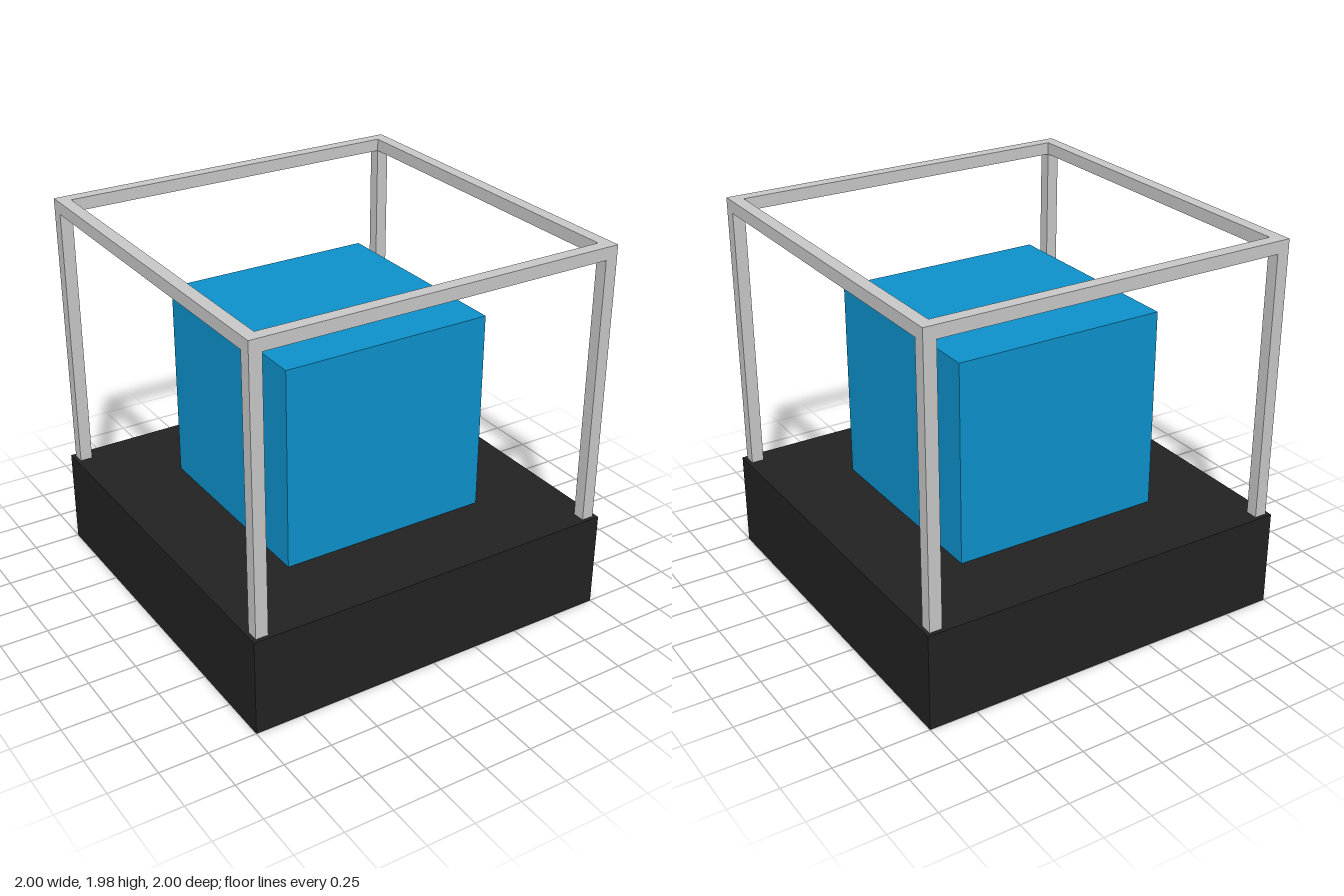
import * as THREE from 'three';

export function createModel() {
  const group = new THREE.Group();
  const material = (name, color) => {
    const m = new THREE.MeshStandardMaterial({ color });
    m.name = name;
    return m;
  };
  const black = material('black', 0x222222);
  const blue = material('blue', 0x0d92cd);
  const grey = material('light grey', 0xc9c9c9);

  const add = (name, geometry, mat, x, y, z) => {
    const mesh = new THREE.Mesh(geometry, mat);
    mesh.name = name;
    mesh.position.set(x, y, z);
    group.add(mesh);
    return mesh;
  };

  const baseTop = 0.51, outer = 0.98, bar = 0.065, frameTop = 1.98;
  const inner = outer - bar;

  // Base slab and the cube resting on it
  add('base', new THREE.BoxGeometry(2, baseTop, 2), black, 0, baseTop / 2, 0);
  const cubeTop = 1.56, cubeHeight = cubeTop - baseTop;
  add('cube', new THREE.BoxGeometry(1.12, cubeHeight, 1.12), blue, 0, baseTop + cubeHeight / 2, 0);

  // Square ring along the top of the frame
  const square = (path, r) => path.moveTo(-r, -r).lineTo(r, -r).lineTo(r, r).lineTo(-r, r).closePath();
  const ring = square(new THREE.Shape(), outer);
  ring.holes.push(square(new THREE.Path(), inner));
  const ringGeometry = new THREE.ExtrudeGeometry(ring, { depth: bar, bevelEnabled: false });
  ringGeometry.rotateX(-Math.PI / 2);
  add('topFrame', ringGeometry, grey, 0, frameTop - bar, 0);

  // Corner posts
  const postHeight = frameTop - bar - baseTop;
  const postGeometry = new THREE.BoxGeometry(bar, postHeight, bar);
  const c = outer - bar / 2;
  for (const [side, x] of [['Left', c], ['Right', -c]]) {
    for (const [end, z] of [['front', c], ['back', -c]]) {
      add(`${end}${side}Post`, postGeometry, grey, x, baseTop + postHeight / 2, z);
    }
  }

  return group;
}
